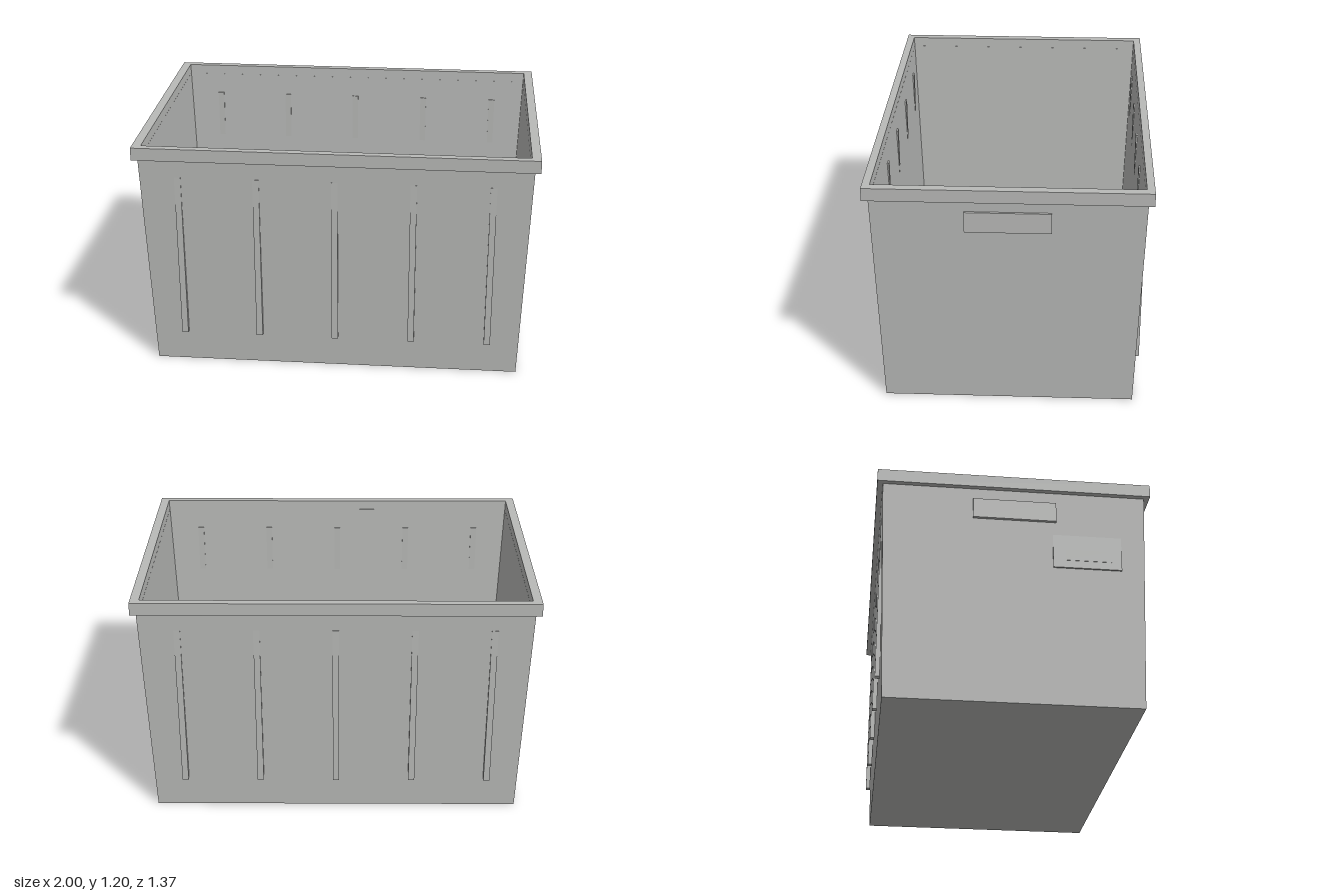
import * as THREE from 'three';

const grey = new THREE.MeshStandardMaterial({ color: 0xb9bab8 });
grey.name = 'grey plastic';

// Skin a sequence of rectangular loops [halfX, halfZ, y]; a half size of 0 closes the end.
function loft(loops) {
  const corner = ([x, z, y], i) => [[x, y, z], [x, y, -z], [-x, y, -z], [-x, y, z]][i % 4];
  const pos = [];
  for (let k = 0; k < loops.length - 1; k++) {
    for (let i = 0; i < 4; i++) {
      const a = corner(loops[k], i), b = corner(loops[k], i + 1);
      const c = corner(loops[k + 1], i + 1), d = corner(loops[k + 1], i);
      pos.push(...a, ...b, ...c, ...a, ...c, ...d);
    }
  }
  const g = new THREE.BufferGeometry();
  g.setAttribute('position', new THREE.Float32BufferAttribute(pos, 3));
  g.computeVertexNormals();
  return g;
}

export function createModel() {
  const model = new THREE.Group();
  model.name = 'storageBin';

  const add = (name, geometry, x = 0, y = 0, z = 0) => {
    const mesh = new THREE.Mesh(geometry, grey);
    mesh.name = name;
    mesh.position.set(x, y, z);
    model.add(mesh);
    return mesh;
  };
  // Box given by its limits on each axis
  const box = (name, x0, x1, y0, y1, z0, z1) =>
    add(name, new THREE.BoxGeometry(x1 - x0, y1 - y0, z1 - z0),
      (x0 + x1) / 2, (y0 + y1) / 2, (z0 + z1) / 2);

  // Tapered open shell: underside, outer walls, inner walls, floor
  add('shell', loft([
    [0, 0, 0], [0.935, 0.622, 0], [0.974, 0.656, 1.15],
    [0.953, 0.643, 1.15], [0.915, 0.608, 0.03], [0, 0, 0.03],
  ]));

  // Overhanging rim
  add('rim', loft([
    [0.953, 0.643, 1.135], [1, 0.683, 1.135], [1, 0.683, 1.2],
    [0.955, 0.645, 1.2], [0.953, 0.643, 1.135],
  ]));

  // Upright ribs, which pass through the sloping long walls
  for (const s of [1, -1]) {
    for (let i = -2; i <= 2; i++) {
      const x = i * 0.39;
      const z = s * 0.643;
      box(s > 0 ? 'frontRib' : 'backRib', x - 0.016, x + 0.016, 0.17, 1.04, z - 0.0115, z + 0.0115);
    }
  }

  // Grip pads on the short walls
  for (const s of [1, -1]) {
    const x = s * 0.974;
    box(s > 0 ? 'leftGrip' : 'rightGrip', x - 0.009, x + 0.009, 0.97, 1.075, -0.207, 0.207);
  }

  // Label plate with a raised inset on one short wall
  box('labelPlate', -0.969, -0.96, 0.72, 0.9, 0.19, 0.53);
  box('labelInset', -0.971, -0.965, 0.76, 0.82, 0.25, 0.48);

  return model;
}
